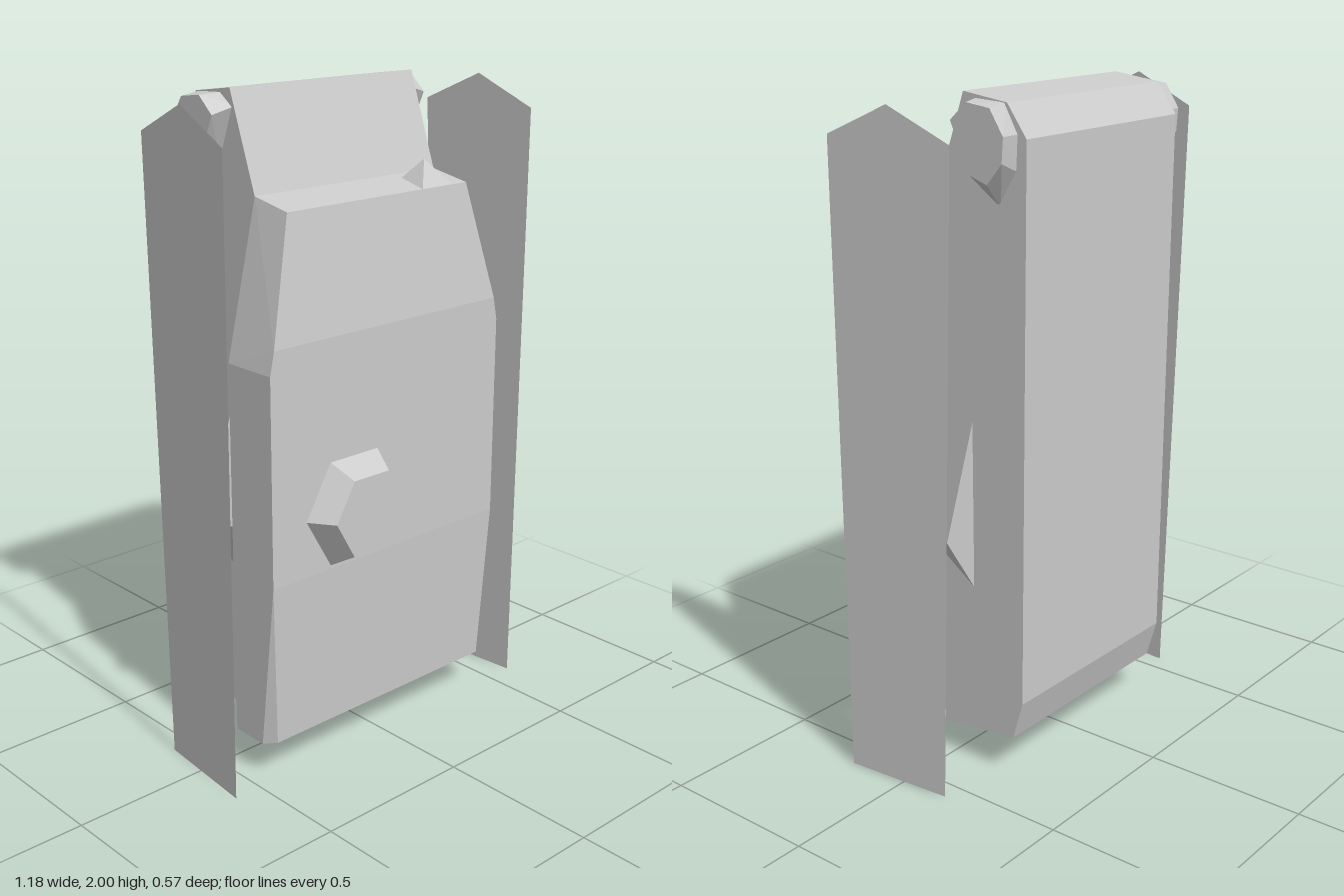
import * as THREE from 'three';
import { ConvexGeometry } from 'three/addons/geometries/ConvexGeometry.js';

const grey = new THREE.MeshStandardMaterial({ color: 0xcccccc, flatShading: true });
const thin = new THREE.MeshStandardMaterial({ color: 0xcccccc, flatShading: true, side: THREE.DoubleSide });

// Faceted solid spanned by its corner points
const solid = (points) => new ConvexGeometry(points.map((p) => new THREE.Vector3(...p)));

// Corner points repeated on both sides of x = 0
const bothSides = (points) => points.flatMap(([x, y, z]) => [[x, y, z], [-x, y, z]]);

export function createModel() {
  const model = new THREE.Group();
  const add = (name, geometry, material = grey) => {
    const mesh = new THREE.Mesh(geometry, material);
    mesh.name = name;
    model.add(mesh);
    return mesh;
  };

  // Back body: side profile as [z, y], constant width
  const profile = [
    [-0.07, 2.0], [-0.22, 1.98], [-0.285, 1.89], [-0.27, 0.25],
    [-0.235, 0.13], [0.1, 0.09], [0.1, 1.515],
  ];
  add('backBody', solid(bothSides(profile.map(([z, y]) => [0.35, y, z]))));

  // Front panel: tapered shoulders, slightly narrowed foot
  add('frontPanel', solid(bothSides([
    [0.35, 1.715, 0.03], [0.35, 1.69, 0.165],
    [0.44, 1.33, 0.21], [0.455, 1.26, 0.21], [0.455, 1.26, 0.03],
    [0.455, 0.63, 0.21],
    [0.43, 0.12, 0.19], [0.455, 0.11, 0.15], [0.455, 0.11, 0.03],
  ])));

  // Hexagonal boss on the front panel
  const boss = new THREE.CylinderGeometry(0.135, 0.188, 0.08, 6);
  boss.rotateY(Math.PI / 6).rotateX(Math.PI / 2);
  add('hexBoss', boss).position.set(-0.143, 0.8, 0.245);

  // Small pyramid on the top ledge
  add('topPyramid', solid([
    [0.168, 1.69, 0.046], [0.29, 1.69, 0.046], [0.168, 1.69, 0.165],
    [0.29, 1.69, 0.165], [0.229, 1.765, 0.108],
  ]));

  // Cross-sections of the top end caps as [z, y]
  const capInner = [[-0.06, 1.95], [-0.11, 1.985], [-0.21, 1.98], [-0.255, 1.9], [-0.25, 1.8], [-0.19, 1.7], [-0.13, 1.77]];
  const capOuter = [[-0.075, 1.93], [-0.13, 1.98], [-0.21, 1.97], [-0.255, 1.9], [-0.25, 1.83], [-0.2, 1.77], [-0.14, 1.79]];

  for (const [side, s] of [['left', 1], ['right', -1]]) {
    add(side + 'EndCap', solid([
      ...capInner.map(([z, y]) => [s * 0.34, y, z]),
      ...capOuter.map(([z, y]) => [s * 0.41, y, z]),
    ]));

    // Pointed fin on the body side, flat towards the back
    add(side + 'Fin', solid([
      [s * 0.34, 1.11, -0.09], [s * 0.34, 0.56, -0.09],
      [s * 0.466, 0.75, -0.09], [s * 0.34, 0.75, 0.18],
    ]));

    // Thin side plate, toed outwards at the front
    const outline = [[0.19, 0], [-0.15, 0], [-0.2, 1.89], [0, 1.98], [0.2, 1.89]];
    const plate = new THREE.ShapeGeometry(new THREE.Shape(outline.map(([z, y]) => new THREE.Vector2(z, y))));
    const pos = plate.attributes.position;
    for (let i = 0; i < pos.count; i++) {
      const z = pos.getX(i);
      pos.setXYZ(i, s * (0.574 + 0.09 * z), pos.getY(i), z);
    }
    plate.computeVertexNormals();
    add(side + 'SidePlate', plate, thin);
  }
  return model;
}
